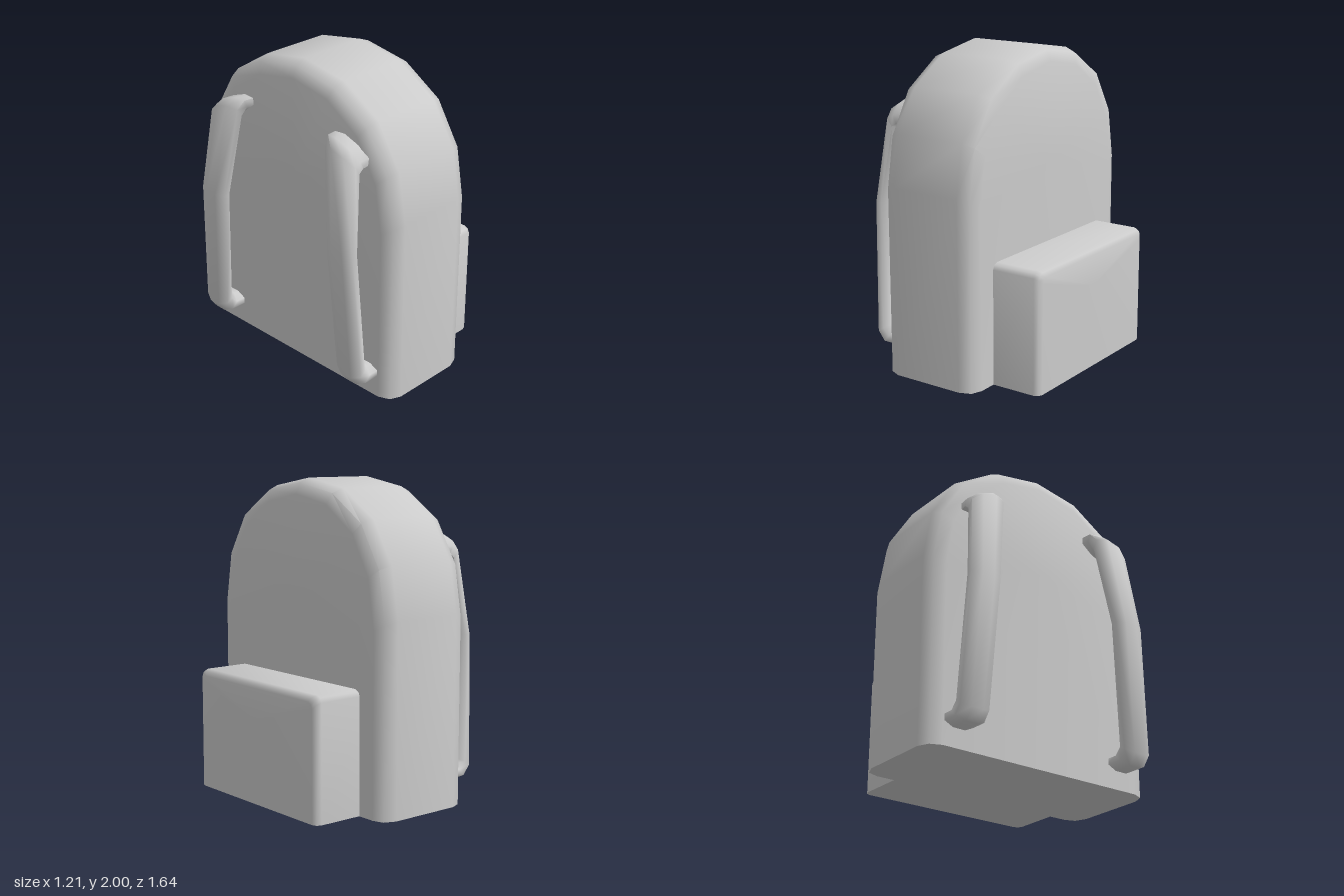
import * as THREE from 'three';
import { toCreasedNormals } from 'three/addons/utils/BufferGeometryUtils.js';

const material = new THREE.MeshStandardMaterial({ color: 0xcccccc });

// Closed solid through a row of rings with equal point counts, capped at both ends.
function loft(rings, crease) {
  const n = rings[0].length;
  const tris = [];
  for (let r = 0; r < rings.length - 1; r++) {
    const a = rings[r], b = rings[r + 1];
    for (let i = 0; i < n; i++) {
      const j = (i + 1) % n;
      tris.push([a[i], a[j], b[j]], [a[i], b[j], b[i]]);
    }
  }
  const cap = (ring, flip) => {
    const c = new THREE.Vector3();
    ring.forEach((p) => c.addScaledVector(p, 1 / n));
    for (let i = 0; i < n; i++) {
      const j = (i + 1) % n;
      tris.push(flip ? [c, ring[j], ring[i]] : [c, ring[i], ring[j]]);
    }
  };
  cap(rings[0], true);
  cap(rings[rings.length - 1], false);
  // A negative volume means the faces point inwards, so turn them round
  const volume = tris.reduce((v, [a, b, c]) => v + a.dot(b.clone().cross(c)), 0);
  const pts = tris.flatMap(([a, b, c]) => (volume < 0 ? [a, c, b] : [a, b, c]));
  const geo = new THREE.BufferGeometry().setFromPoints(pts);
  geo.computeVertexNormals();
  return toCreasedNormals(geo, crease);
}

// Block with a mirrored half outline [z, y], shrunk by an inset at each [x, inset]; base stays flat.
function bevelledBlock(half, stations) {
  const mirrored = half.filter(([z]) => z > 0).reverse().map(([z, y]) => [-z, y]);
  const outline = [...half, ...mirrored];
  const maxZ = Math.max(...half.map((p) => p[0]));
  const maxY = Math.max(...half.map((p) => p[1]));
  const rings = stations.map(([x, s]) => outline.map(([z, y]) =>
    new THREE.Vector3(x, y * (1 - s / maxY), z * (1 - s / maxZ))));
  return loft(rings, 0.9);
}

// Flat rounded strap. Each row: outer x, y, inner x, y, centre z, half width, tilt.
const strapRows = [
  [-0.36, 1.66, -0.36, 1.55, 0.48, 0.13, 0.35],
  [-0.48, 1.66, -0.43, 1.55, 0.49, 0.13, 0.35],
  [-0.535, 1.62, -0.45, 1.51, 0.5, 0.12, 0.25],
  [-0.605, 1.03, -0.51, 1.03, 0.56, 0.105, 0],
  [-0.575, 0.19, -0.48, 0.25, 0.61, 0.1, 0],
  [-0.525, 0.12, -0.44, 0.215, 0.61, 0.1, 0],
  [-0.36, 0.12, -0.36, 0.215, 0.61, 0.1, 0],
];

function strap(side) {
  const rings = strapRows.map(([ox, oy, ix, iy, z, w, tilt]) => {
    const ring = [];
    for (let i = 0; i < 8; i++) {
      const t = ((i + 0.5) / 8) * Math.PI * 2;
      const across = (Math.sin(t) / Math.cos(Math.PI / 8)) * w;
      const k = Math.cos(t) / Math.cos(Math.PI / 8) / 2;
      ring.push(new THREE.Vector3(
        (ox + ix) / 2 + (ox - ix) * k,
        (oy + iy) / 2 + (oy - iy) * k - across * tilt,
        side * (z + across)));
    }
    return ring;
  });
  return loft(rings, 1.2);
}

export function createModel() {
  const bag = new THREE.Group();
  bag.name = 'backpack';
  const add = (name, geometry) => {
    const mesh = new THREE.Mesh(geometry, material);
    mesh.name = name;
    bag.add(mesh);
  };

  // Arched main compartment with soft edges on both broad faces
  add('mainCompartment', bevelledBlock(
    [[0.82, 0], [0.82, 1.19], [0.765, 1.51], [0.6, 1.775], [0.325, 1.945], [0, 2]],
    [[-0.4, 0.1], [-0.37, 0.03], [-0.3, 0], [0.17, 0], [0.245, 0.03], [0.27, 0.1]]));

  // Outer pocket, bevelled on its free side
  add('pocket', bevelledBlock(
    [[0.6, 0], [0.6, 0.73], [0.588, 0.757], [0.56, 0.77]],
    [[0.2, 0], [0.56, 0], [0.588, 0.012], [0.6, 0.04]]));

  // Pair of shoulder straps
  add('leftStrap', strap(1));
  add('rightStrap', strap(-1));
  return bag;
}
